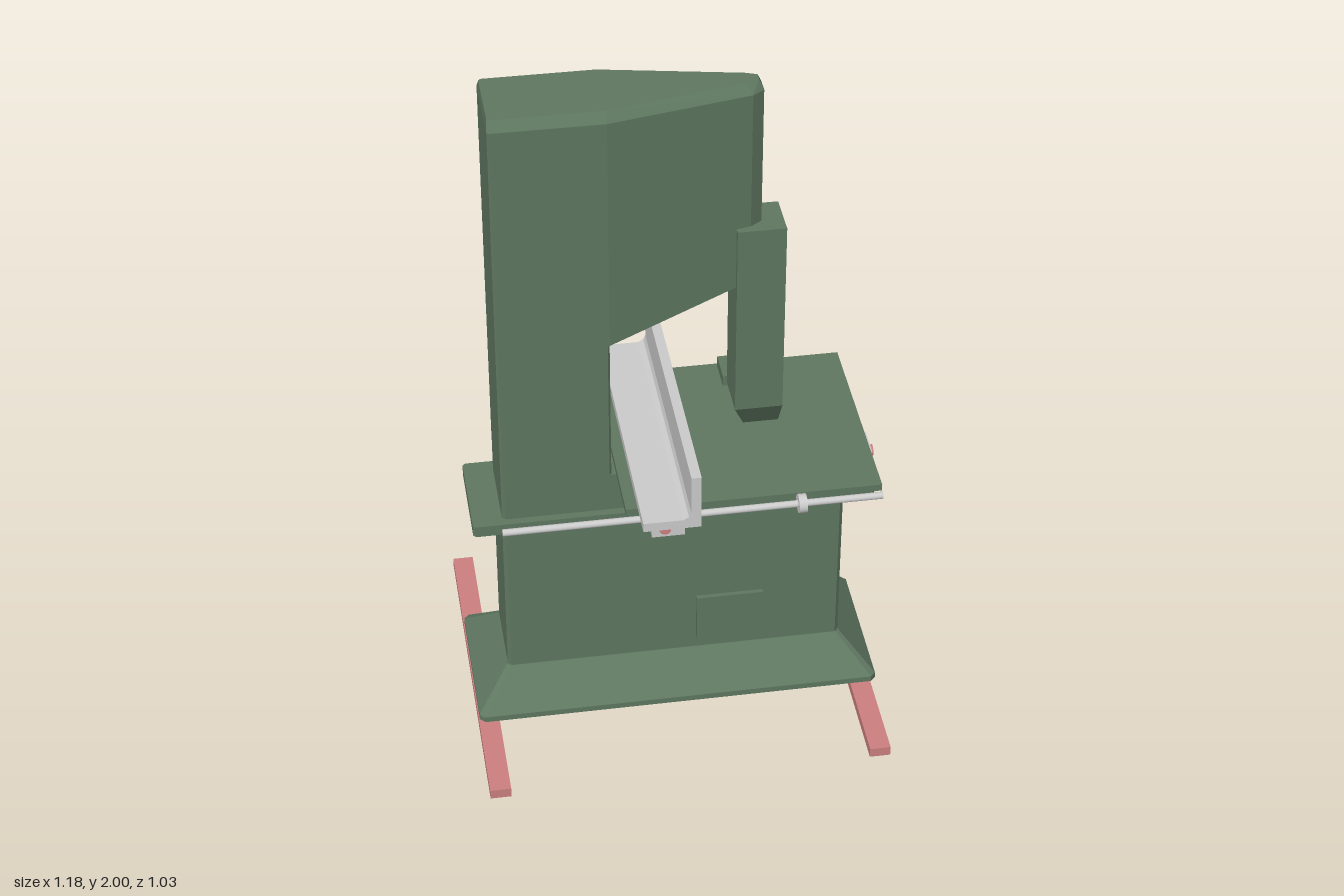
import * as THREE from 'three';
import { ConvexGeometry } from 'three/addons/geometries/ConvexGeometry.js';

const green = new THREE.MeshStandardMaterial({ color: 0x5f7761 });
const red = new THREE.MeshStandardMaterial({ color: 0xcc7f7f });
const grey = new THREE.MeshStandardMaterial({ color: 0xcccccc });

export function createModel() {
  const model = new THREE.Group();

  const add = (name, geometry, material, parent = model) => {
    const mesh = new THREE.Mesh(geometry, material);
    mesh.name = name;
    parent.add(mesh);
    return mesh;
  };
  // Box given by its limits on each axis
  const box = (name, mat, x0, x1, y0, y1, z0, z1) => {
    const mesh = add(name, new THREE.BoxGeometry(x1 - x0, y1 - y0, z1 - z0), mat);
    mesh.position.set((x0 + x1) / 2, (y0 + y1) / 2, (z0 + z1) / 2);
    return mesh;
  };
  // Cylinder centred on a point, along x, y or z
  const rod = (name, mat, axis, r, len, x, y, z, parent = model) => {
    const mesh = add(name, new THREE.CylinderGeometry(r, r, len, 24), mat, parent);
    if (axis === 'x') mesh.rotation.z = Math.PI / 2;
    if (axis === 'z') mesh.rotation.x = Math.PI / 2;
    mesh.position.set(x, y, z);
    return mesh;
  };
  // Rectangle with cut corners at height y
  const ring = (x0, x1, z0, z1, y, c) => [
    [x0 + c, z0], [x1 - c, z0], [x1, z0 + c], [x1, z1 - c],
    [x1 - c, z1], [x0 + c, z1], [x0, z1 - c], [x0, z0 + c],
  ].map(([x, z]) => new THREE.Vector3(x, y, z));
  const hull = (name, ...rings) => add(name, new ConvexGeometry(rings.flat()), green);

  // Skids
  box('rightSkid', red, -0.59, -0.53, 0, 0.03, -0.52, 0.515);
  box('leftSkid', red, 0.51, 0.57, 0, 0.03, -0.52, 0.515);

  // Flared foot, cabinet, collar and column
  hull('foot',
    ring(-0.587, 0.587, -0.23, 0.23, 0.03, 0.015),
    ring(-0.587, 0.587, -0.23, 0.23, 0.048, 0.015),
    ring(-0.492, 0.492, -0.122, 0.127, 0.147, 0.01));
  hull('cabinet',
    ring(-0.49, 0.49, -0.12, 0.125, 0.14, 0.01),
    ring(-0.49, 0.49, -0.12, 0.125, 0.818, 0.01));
  hull('collar',
    ring(-0.575, 0.575, -0.145, 0.148, 0.66, 0.008),
    ring(-0.575, 0.575, -0.145, 0.148, 0.695, 0.008));
  hull('column',
    ring(-0.49, -0.178, -0.12, 0.125, 0.8, 0.006),
    ring(-0.49, -0.178, -0.12, 0.125, 1.28, 0.006));
  box('cabinetDoor', green, 0.065, 0.26, 0.19, 0.34, 0.12, 0.138);

  // Head, tapering in plan to a narrow nose, with a rising underside
  const plan = [
    [-0.49, -0.115], [-0.484, -0.122], [-0.178, -0.122], [0.22, -0.045], [0.253, -0.025],
    [0.253, 0.022], [0.22, 0.045], [-0.178, 0.126], [-0.484, 0.126], [-0.49, 0.119],
  ];
  const under = (x) => 1.265 + Math.max(0, x + 0.178) * 0.29;
  hull('head',
    plan.map(([x, z]) => new THREE.Vector3(x, under(x), z)),
    plan.map(([x, z]) => new THREE.Vector3(x, 1.972, z)),
    plan.map(([x, z]) => new THREE.Vector3(
      x > 0 ? x - 0.012 : x + 0.003, 2, z - Math.sign(z) * Math.min(0.02, Math.abs(z) * 0.5))));

  // Blade guard, cut away at the front and inner side of its tip
  hull('bladeGuard',
    ring(0.18, 0.315, -0.064, 0.07, 1.56, 0),
    ring(0.18, 0.315, -0.064, 0.07, 0.962, 0),
    ring(0.215, 0.315, -0.06, 0.012, 0.87, 0));

  // Rear arm with the guide post below
  box('guideArm', green, -0.34, 0.23, 1.29, 1.48, -0.265, -0.095);
  rod('guidePost', green, 'y', 0.012, 0.34, 0.205, 1.13, -0.132);
  box('guideBlock', green, 0.168, 0.232, 0.952, 0.985, -0.157, -0.06);
  rod('guideKnob', red, 'x', 0.024, 0.02, 0.236, 0.967, -0.132);
  rod('armKnob', red, 'x', 0.024, 0.03, 0.235, 1.36, -0.208);

  // Spoked handwheel lying in its local xz plane, shaft along +y
  const handwheel = (name, shaft) => {
    const wheel = new THREE.Group();
    wheel.name = name;
    const rim = add('rim', new THREE.TorusGeometry(0.071, 0.0105, 10, 36), red, wheel);
    rim.rotation.x = Math.PI / 2;
    rod('hub', red, 'y', 0.018, 0.02, 0, 0, 0, wheel);
    rod('shaft', red, 'y', 0.008, shaft, 0, shaft / 2, 0, wheel);
    for (let i = 0; i < 5; i++) {
      const a = (i / 5) * Math.PI * 2;
      const spoke = add('spoke', new THREE.BoxGeometry(0.07, 0.01, 0.014), red, wheel);
      spoke.position.set(Math.cos(a) * 0.036, 0, -Math.sin(a) * 0.036);
      spoke.rotation.y = a;
    }
    model.add(wheel);
    return wheel;
  };
  handwheel('lowerHandwheel', 0.08).position.set(-0.018, 1.222, -0.18);
  const rear = handwheel('rearHandwheel', 0.06);
  rear.position.set(0.155, 1.355, -0.313);
  rear.rotation.x = Math.PI / 2;

  // Table and its clamp
  box('table', green, -0.165, 0.555, 0.817, 0.838, -0.32, 0.31);
  box('tableClamp', grey, 0.51, 0.565, 0.762, 0.817, 0.042, 0.132);
  rod('clampKnob', red, 'x', 0.016, 0.02, 0.565, 0.79, 0.092);

  // Fence: L section with a small fillet, run along z
  const section = new THREE.Shape([
    [-0.132, 0.84], [0.028, 0.84], [0.028, 1.01], [0, 1.01], [0, 0.892],
    [-0.006, 0.877], [-0.022, 0.868], [-0.132, 0.868],
  ].map(([x, y]) => new THREE.Vector2(x, y)));
  const fence = add('fence',
    new THREE.ExtrudeGeometry(section, { depth: 0.835, bevelEnabled: false }), grey);
  fence.position.z = -0.42;

  // Front rail with stop collar and fence carriage
  rod('rail', grey, 'x', 0.01, 1.06, 0.02, 0.828, 0.344);
  rod('railStop', grey, 'x', 0.027, 0.023, 0.322, 0.828, 0.344);
  box('fenceCarriage', grey, -0.102, -0.01, 0.782, 0.842, 0.318, 0.372);
  rod('carriageKnob', red, 'z', 0.016, 0.02, -0.066, 0.812, 0.372);

  return model;
}
